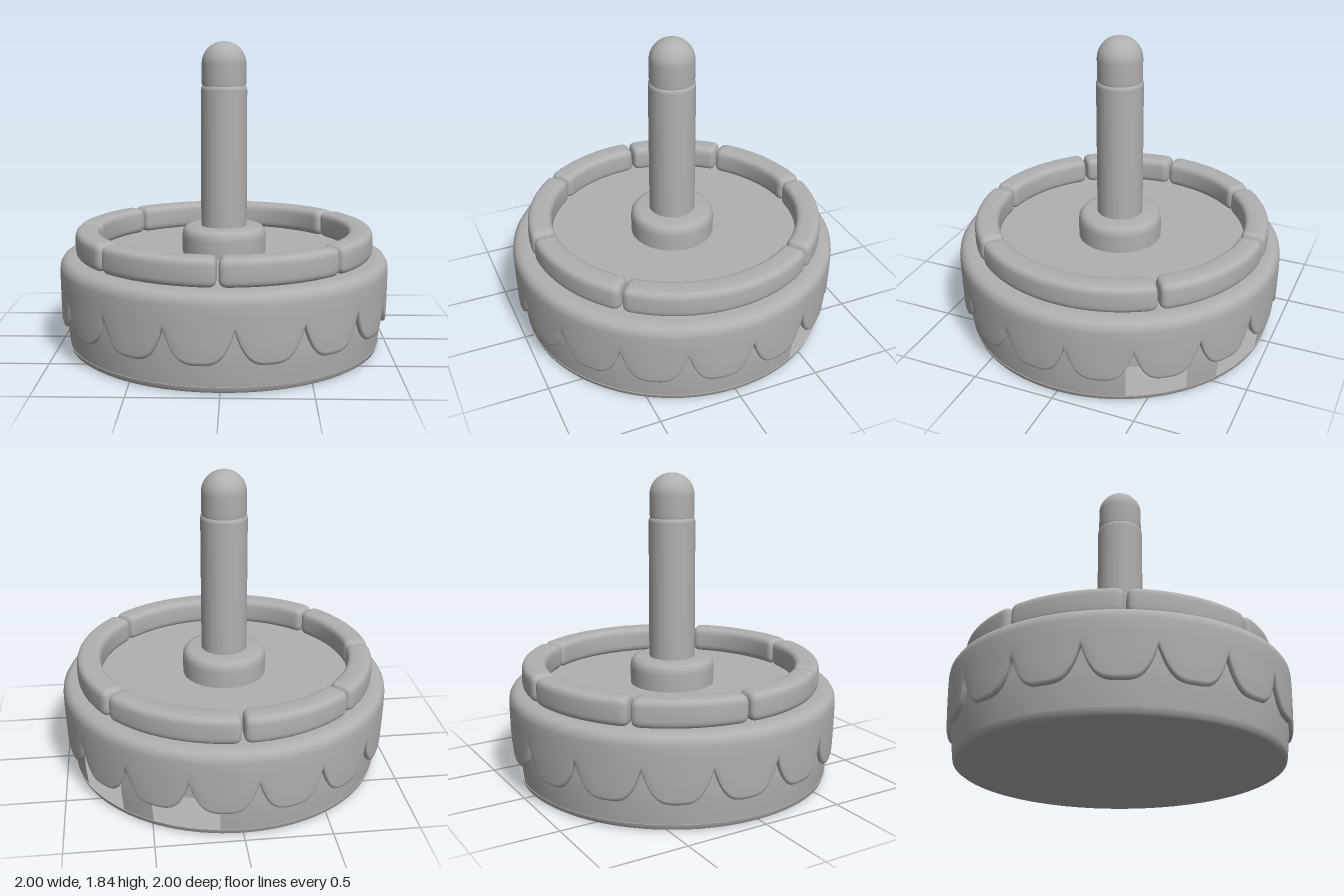
import * as THREE from 'three';

const rad = THREE.MathUtils.degToRad;

// Smooth grid surface; fn(i, j) returns [angle, radius, y] around the y axis
function sweep(nu, nv, wrapU, wrapV, fn) {
  const cols = wrapU ? nu : nu + 1, rows = wrapV ? nv : nv + 1;
  const pos = [], idx = [];
  for (let i = 0; i < cols; i++) {
    for (let j = 0; j < rows; j++) {
      const [a, r, y] = fn(i, j);
      pos.push(r * Math.sin(a), y, r * Math.cos(a));
    }
  }
  const at = (i, j) => (i % cols) * rows + (j % rows);
  for (let i = 0; i < nu; i++) {
    for (let j = 0; j < nv; j++) {
      const a = at(i, j), b = at(i + 1, j), c = at(i + 1, j + 1), d = at(i, j + 1);
      idx.push(a, b, c, a, c, d);
    }
  }
  const g = new THREE.BufferGeometry();
  g.setAttribute('position', new THREE.Float32BufferAttribute(pos, 3));
  g.setIndex(idx);
  g.computeVertexNormals();
  return g;
}

// Turned profile, bottom to top, over an optional span in degrees
function turned(profile, from = 0, to = 360, segments = 96) {
  const pts = profile.map(([r, y]) => new THREE.Vector2(r, y));
  return new THREE.LatheGeometry(pts, segments, rad(from), rad(to - from));
}

export function createModel() {
  const model = new THREE.Group();
  const grey = new THREE.MeshStandardMaterial({ color: 0xb0b0b0 });
  grey.name = 'plain grey';
  const add = (name, geometry, parent = model) => {
    const m = new THREE.Mesh(geometry, grey);
    m.name = name;
    parent.add(m);
    return m;
  };

  // Base: closed foot, wall with two window openings at the back left, lintel
  const base = new THREE.Group();
  base.name = 'base';
  model.add(base);
  add('foot', turned([[0, 0], [0.915, 0], [0.93, 0.002], [0.945, 0.012], [0.95, 0.04]]), base);
  const wall = [[0.95, 0.04], [0.965, 0.17], [0.965, 0.25]];
  add('longWall', turned(wall, 172, 474.6), base);
  add('pier', turned(wall, 136, 148.5, 8), base);
  add('lintel', turned([[0.965, 0.25], [0.965, 0.37]]), base);
  const disc = new THREE.CircleGeometry(0.955, 96);
  const floor = add('innerFloor', disc, base);
  floor.position.y = 0.04;
  floor.rotation.x = -Math.PI / 2;
  const ceiling = add('innerCeiling', disc, base);
  ceiling.position.y = 0.25;
  ceiling.rotation.x = Math.PI / 2;

  // Icing: sixteen scallops along the lower edge, rounded shoulder, flat top
  const scallops = 16, steps = 24;
  const shoulder = [[1.0, 0.42], [1.0, 0.49], [0.995, 0.52], [0.98, 0.545],
    [0.955, 0.557], [0.92, 0.56], [0.7, 0.56], [0, 0.56]];
  const lowerRows = 5;
  add('icing', sweep(scallops * steps, lowerRows + shoulder.length - 1, true, false, (i, j) => {
    const u = ((i % steps) / steps) * 2 - 1;
    const edge = 0.165 + 0.185 * Math.pow(Math.abs(u), 3.4);
    const a = rad(4.6) + (i / (scallops * steps)) * Math.PI * 2;
    const lower = [[0.955, edge + 0.012], [0.978, edge], [0.99, edge + 0.008],
      [0.995, edge + 0.025], [0.998, (edge + 0.42) / 2]];
    const [r, y] = j < lowerRows ? lower[j] : shoulder[j - lowerRows];
    return [a, r, y];
  }));

  // Rim: seven curved rounded bars, with their joints in degrees from the front
  const rim = new THREE.Group();
  rim.name = 'rim';
  rim.position.z = -0.012;
  model.add(rim);
  const joints = [-1, 47.5, 126, 180, 225, 268, 311, 359];
  const ends = [[0, 0], [0, 0.6], [0.006, 0.8], [0.018, 0.92], [0.036, 0.985], [0.055, 1]];
  const power = (v) => Math.sign(v) * Math.pow(Math.abs(v), 0.5);
  for (let k = 0; k < joints.length - 1; k++) {
    const a0 = rad(joints[k]) + 0.008, a1 = rad(joints[k + 1]) - 0.008;
    const stations = ends.map(([d, s]) => [a0 + d, s]);
    for (let n = 1; n < 24; n++) {
      stations.push([THREE.MathUtils.lerp(a0 + 0.055, a1 - 0.055, n / 24), 1]);
    }
    [...ends].reverse().forEach(([d, s]) => stations.push([a1 - d, s]));
    add('rimBar', sweep(stations.length - 1, 32, false, true, (i, j) => {
      const [a, s] = stations[i];
      const t = (j / 32) * Math.PI * 2;
      return [a, 0.833 + 0.075 * s * power(Math.cos(t)), 0.638 + 0.082 * s * power(Math.sin(t))];
    }), rim);
  }

  // Collar around the foot of the post
  add('collar', turned([[0.255, 0.55], [0.257, 0.66], [0.252, 0.695], [0.237, 0.716],
    [0.21, 0.725], [0.12, 0.727]], 0, 360, 64));

  // Post with a softened upper edge
  add('post', turned([[0.14, 0.7], [0.14, 1.55], [0.138, 1.567], [0.128, 1.578]], 0, 360, 48));

  // Round tip
  const tip = [[0.128, 1.565], [0.134, 1.59], [0.134, 1.71]];
  for (let n = 1; n <= 12; n++) {
    const t = (n / 12) * Math.PI / 2;
    tip.push([n === 12 ? 0 : 0.134 * Math.cos(t), 1.71 + 0.13 * Math.sin(t)]);
  }
  add('tip', turned(tip, 0, 360, 48));

  return model;
}
